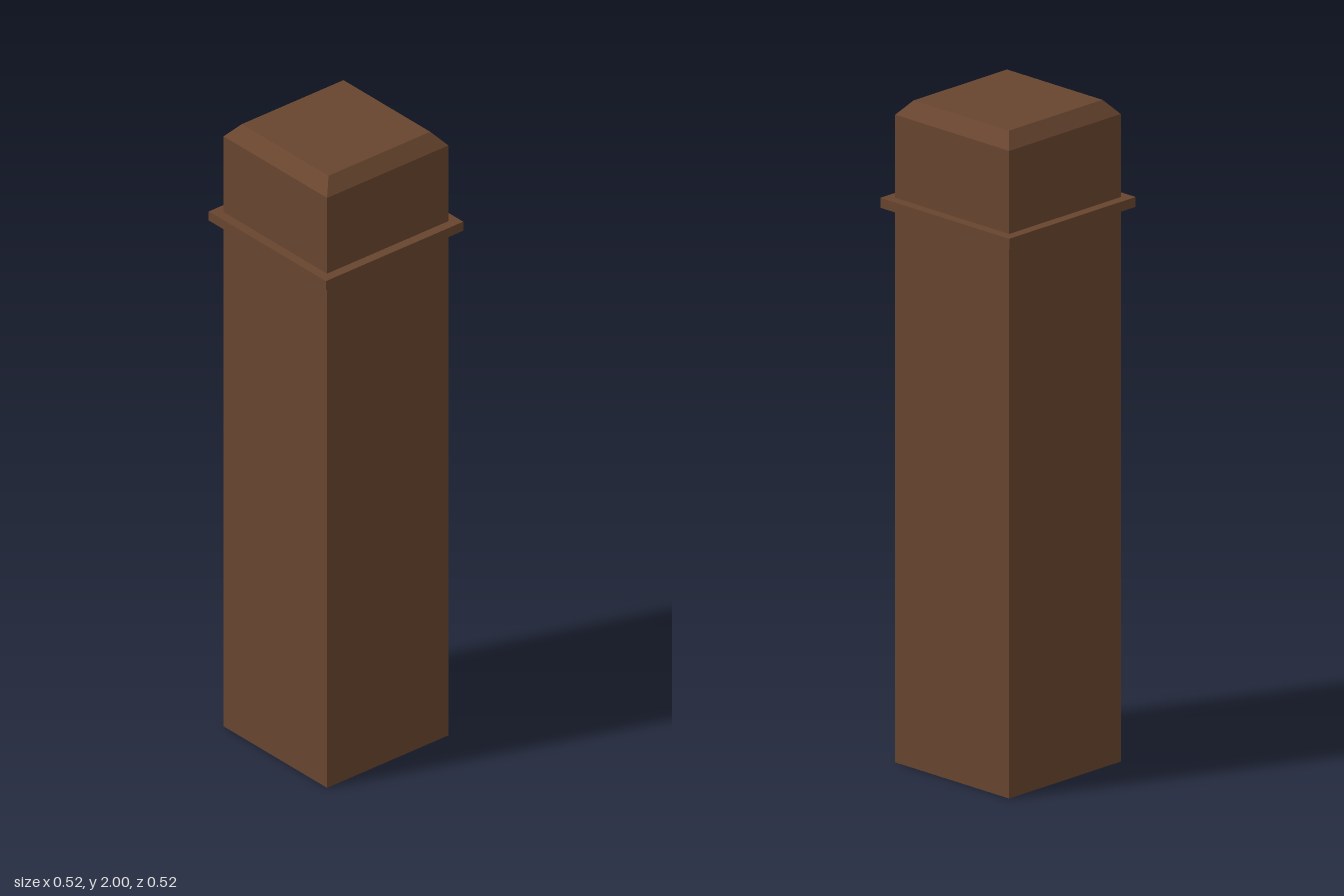
import * as THREE from 'three';

const wood = new THREE.MeshStandardMaterial({ color: 0x68452f });
wood.name = 'brown wood';

// Square block between two heights, with its own half widths at bottom and top
function squareBlock(name, bottomHalf, topHalf, y0, y1, openEnded = false) {
  const geometry = new THREE.CylinderGeometry(
    topHalf * Math.SQRT2, bottomHalf * Math.SQRT2, y1 - y0, 4, 1, openEnded
  ).rotateY(Math.PI / 4).toNonIndexed();
  geometry.computeVertexNormals(); // flat faces
  const mesh = new THREE.Mesh(geometry, wood);
  mesh.name = name;
  mesh.position.y = (y0 + y1) / 2;
  return mesh;
}

export function createModel() {
  const post = new THREE.Group();
  post.name = 'squarePost';
  post.add(
    squareBlock('shaft', 0.228, 0.228, 0, 1.957),
    squareBlock('collar', 0.258, 0.258, 1.676, 1.706),
    squareBlock('bevelledCap', 0.228, 0.191, 1.957, 2)
  );
  return post;
}
